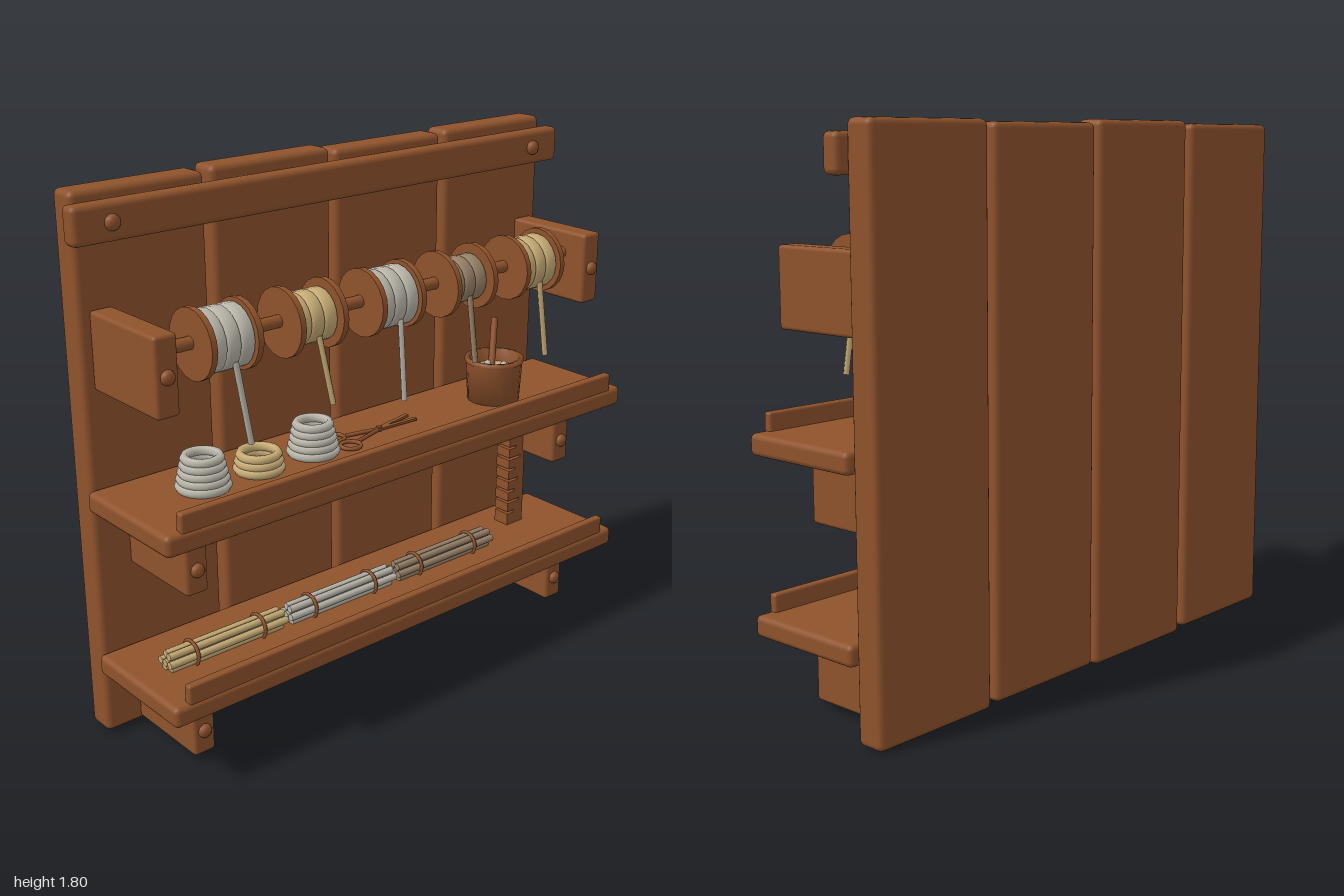
import * as THREE from 'three';
import { RoundedBoxGeometry } from 'three/addons/geometries/RoundedBoxGeometry.js';

const mat = (name, color, extra = {}) => {
  const m = new THREE.MeshStandardMaterial({ color, ...extra });
  m.name = name;
  return m;
};

export function createModel() {
  const root = new THREE.Group();
  root.name = 'craftRack';
  const wood = mat('wood', 0x8f532c);
  const silver = mat('silverThread', 0xbbb7ab, { side: THREE.DoubleSide });
  const straw = mat('strawThread', 0xc8ad76, { side: THREE.DoubleSide });
  const taupe = mat('taupeThread', 0x998268, { side: THREE.DoubleSide });

  const add = (name, geo, material, x = 0, y = 0, z = 0, parent = root) => {
    const m = new THREE.Mesh(geo, material);
    m.name = name;
    m.position.set(x, y, z);
    parent.add(m);
    return m;
  };
  // Bevelled board given by its min and max corners
  const board = (name, x0, x1, y0, y1, z0, z1, r = 0.014) =>
    add(name, new RoundedBoxGeometry(x1 - x0, y1 - y0, z1 - z0, 2, r), wood,
      (x0 + x1) / 2, (y0 + y1) / 2, (z0 + z1) / 2);
  // Round rod between two points
  const rod = (name, a, b, r0, r1, material, sides = 8, parent = root) => {
    const p = new THREE.Vector3(...a), q = new THREE.Vector3(...b);
    const d = q.clone().sub(p);
    const m = add(name, new THREE.CylinderGeometry(r1, r0, d.length(), sides), material, 0, 0, 0, parent);
    m.position.copy(p).add(q).multiplyScalar(0.5);
    m.quaternion.setFromUnitVectors(new THREE.Vector3(0, 1, 0), d.normalize());
    return m;
  };
  // Domed peg head facing +z
  const peg = (x, y, z, r = 0.026, d = 0.02) => {
    const prof = [[0, d], [r * 0.55, d * 0.9], [r * 0.9, d * 0.55], [r, 0], [r, -0.01], [0, -0.01]]
      .reverse().map(([a, b]) => new THREE.Vector2(a, b));
    add('peg', new THREE.LatheGeometry(prof, 14), wood, x, y, z).rotation.x = Math.PI / 2;
  };

  // Back planks
  [[-0.97, -0.505, 0.02, 1.805], [-0.48, -0.012, 0.01, 1.815],
    [0.008, 0.475, 0.02, 1.805], [0.498, 0.965, 0.012, 1.812]]
    .forEach(([a, b, c, d]) => board('backPlank', a, b, c, d, -0.27, -0.17, 0.02));

  // Top rail
  board('topRail', -1, 1, 1.655, 1.775, -0.172, -0.11, 0.018);

  // Shelves with front lips
  [[0.815, 0.885], [0.248, 0.317]].forEach(([y0, y1]) => {
    board('shelf', -0.985, 0.985, y0, y1, -0.17, 0.27, 0.018);
    board('shelfLip', -0.93, 0.93, y1 - 0.01, y1 + 0.058, 0.235, 0.265, 0.008);
  });

  // Mirrored brackets and pegs
  for (const s of [-1, 1]) {
    peg(s * 0.87, 1.715, -0.11);
    const bracket = (cx, y0, y1, z1, py) => {
      board('bracket', s * cx - 0.04, s * cx + 0.04, y0, y1, -0.172, z1, 0.012);
      peg(s * cx, py, z1, 0.024, 0.018);
    };
    bracket(0.893, 1.2, 1.45, 0.175, 1.325);
    bracket(0.807, 0.6, 0.82, 0.15, 0.682);
    bracket(0.807, 0.035, 0.252, 0.15, 0.118);
  }

  // Spool rod
  rod('spoolRod', [-0.87, 1.37, 0.07], [0.87, 1.37, 0.07], 0.021, 0.021, wood, 12);

  // Spools: two flanges, ridged thread winding and a hanging end
  [[-0.65, silver, 0.1, 0.055, 1.04], [-0.325, straw, 0.085, 0.05, 1.09], [0, silver, 0.1, 0.025, 1.03],
    [0.325, taupe, 0.08, 0.022, 1.09], [0.65, straw, 0.095, 0.045, 1.04]].forEach(([x, m, r, dx, yEnd]) => {
    const g = new THREE.Group();
    g.name = 'spool';
    g.position.set(x, 1.365, 0.072);
    root.add(g);
    for (const s of [-1, 1])
      add('spoolFlange', new THREE.CylinderGeometry(0.112, 0.112, 0.02, 20), wood, s * 0.083, 0, 0, g).rotation.z = Math.PI / 2;
    const prof = [];
    for (let i = 0; i < 3; i++) {
      const c = (i - 1) * 0.05;
      prof.push([r - 0.012, c - 0.025], [r, c - 0.018], [r, c + 0.018], [r - 0.012, c + 0.025]);
    }
    add('threadWinding', new THREE.LatheGeometry(prof.map(p => new THREE.Vector2(...p)), 20), m, 0, 0, 0, g)
      .rotation.z = Math.PI / 2;
    const y0 = 1.37 - r * 0.6;
    rod('threadEnd', [x + 0.01, y0, 0.07 + r * 0.8], [x + dx, yEnd, 0.155], 0.01, 0.01, m, 6);
  });

  // Thread coils on the upper shelf
  [[-0.698, silver, 5, 0.075], [-0.485, straw, 3, 0.07], [-0.267, silver, 5, 0.074]].forEach(([x, m, n, r]) => {
    for (let i = 0; i < n; i++)
      add('threadCoil', new THREE.TorusGeometry(r - i * 0.005, 0.015, 6, 24), m, x, 0.898 + i * 0.0225, 0.04)
        .rotation.x = Math.PI / 2;
  });

  // Scissors lying on the upper shelf
  for (const s of [-1, 1]) {
    add('scissorLoop', new THREE.TorusGeometry(0.034, 0.007, 6, 18), wood, -0.145, 0.894, 0.042 + s * 0.042)
      .rotation.x = Math.PI / 2;
    rod('scissorArm', [-0.113, 0.894, 0.042 + s * 0.034], [0.02, 0.894, 0.035], 0.007, 0.007, wood, 6);
    const blade = add('scissorBlade', new THREE.BoxGeometry(0.165, 0.008, 0.015), wood, 0.095, 0.895, 0.03 - s * 0.012);
    blade.rotation.y = 0.08 + s * 0.13;
  }
  add('scissorPivot', new THREE.CylinderGeometry(0.01, 0.01, 0.016, 10), wood, 0.02, 0.896, 0.035);

  // Open tub with loose offcuts and a stick
  const tub = [[0, 0.885], [0.092, 0.885], [0.1, 1.025], [0.104, 1.025], [0.104, 1.04], [0.088, 1.04], [0.084, 0.985]];
  const tubX = 0.545, tubZ = 0.052;
  add('tub', new THREE.LatheGeometry(tub.map(p => new THREE.Vector2(...p)), 16), wood, tubX, 0, tubZ);
  add('tubFilling', new THREE.CylinderGeometry(0.085, 0.085, 0.01, 16), straw, tubX, 0.99, tubZ);
  for (let i = 0; i < 5; i++)
    add('offcut', new THREE.SphereGeometry(0.013, 8, 6), i % 2 ? wood : silver,
      tubX + 0.05 * Math.cos(i * 1.26), 0.998, tubZ + 0.05 * Math.sin(i * 1.26));
  rod('tubStick', [0.57, 0.98, 0.015], [0.63, 1.145, -0.035], 0.012, 0.012, wood, 8);

  // Tied rod bundles on the lower shelf
  [[-0.65, straw], [-0.175, silver], [0.3, taupe]].forEach(([x, m]) => {
    const y = 0.347, z = 0.055;
    for (let i = 0; i < 7; i++) {
      const q = i ? 0.026 : 0, a = i * Math.PI / 3;
      const h = 0.23 - (i % 3) * 0.006;
      const py = y + q * Math.sin(a), pz = z + q * Math.cos(a);
      rod('bundleRod', [x - h, py, pz], [x + h, py, pz], 0.0125, 0.0125, m, 8);
    }
    for (const s of [-1, 1])
      add('bundleTie', new THREE.TorusGeometry(0.042, 0.006, 6, 18), wood, x + s * 0.131, y, z).rotation.y = Math.PI / 2;
  });

  // Notched gauge standing on the lower shelf
  const gauge = new THREE.Shape();
  gauge.moveTo(0.697, 0.315);
  gauge.lineTo(0.777, 0.315);
  gauge.lineTo(0.777, 0.668);
  gauge.lineTo(0.697, 0.668);
  [0.035, 0.06, 0.035, 0.05, 0.035, 0.06, 0.035].forEach((d, i) => {
    const y = 0.635 - i * 0.044;
    gauge.lineTo(0.697, y);
    gauge.lineTo(0.697 + d, y);
    gauge.lineTo(0.697 + d, y - 0.009);
    gauge.lineTo(0.697, y - 0.009);
  });
  gauge.closePath();
  add('notchedGauge', new THREE.ExtrudeGeometry(gauge, { depth: 0.065, bevelEnabled: false }), wood, 0, 0, -0.065);

  return root;
}
